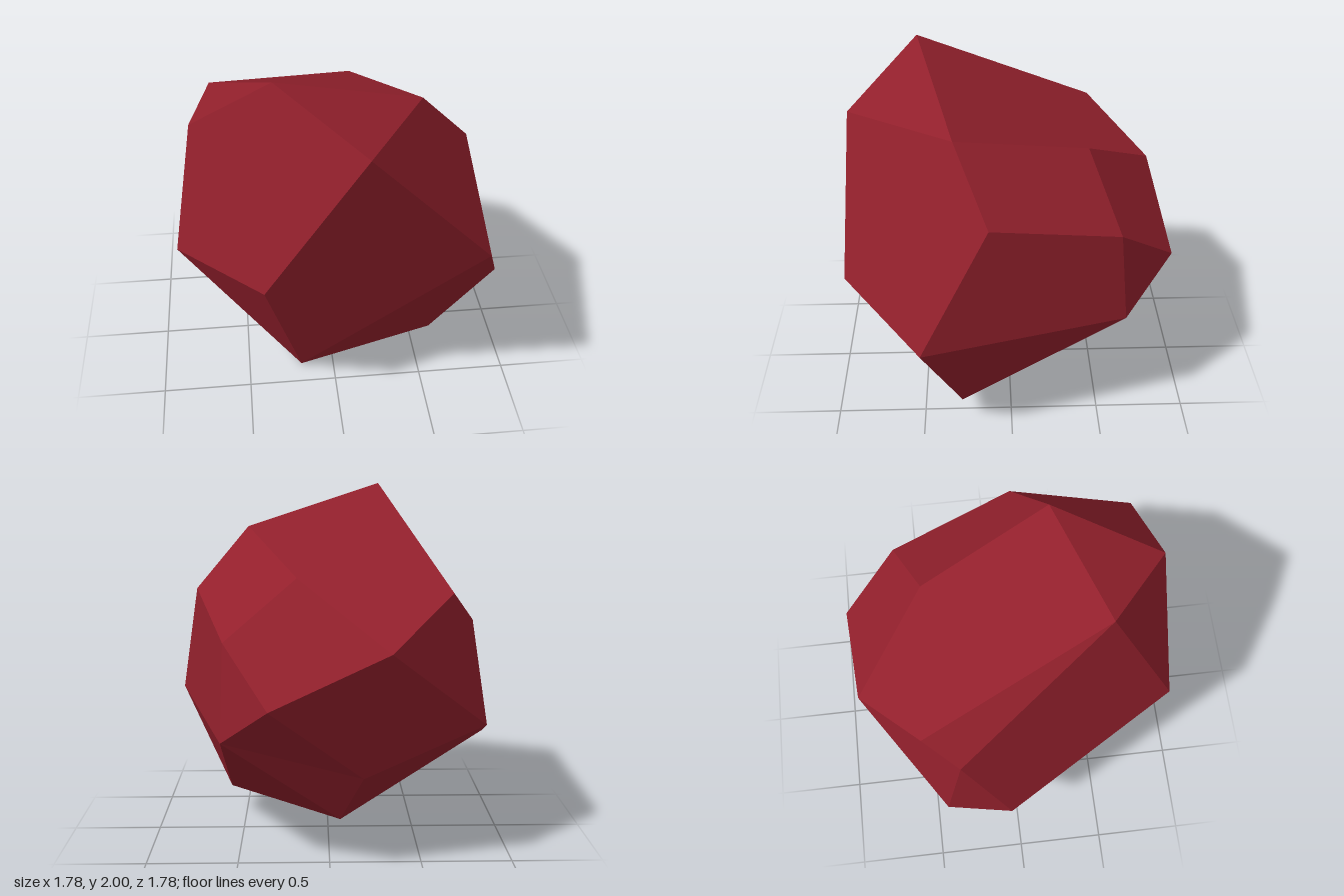
import * as THREE from 'three';

// Corners of the faceted stone
const corners = {
  A: [-0.31, 2.0, 0.49], B: [0.12, 1.76, 0.84], C: [0.46, 1.76, 0.29], D: [0.75, 1.42, 0.12],
  E: [0.74, 1.15, 0.84], F: [0.89, 0.75, 0.48], G: [0.59, 0.16, 0.28], H: [-0.19, 0.0, 0.36],
  I: [-0.89, 0.61, -0.05], J: [-0.4, 1.04, 0.89], K: [-0.77, 1.31, -0.31], L: [0.17, 1.55, -0.42],
  M: [0.55, 1.24, -0.57], N: [-0.3, 1.23, -0.82], O: [0.31, 0.96, -0.89], P: [0.57, 0.72, -0.62],
  Q: [-0.64, 1.48, -0.49], R: [-0.85, 0.75, -0.41], S: [-0.18, 0.5, -0.56], T: [-0.06, 0.21, -0.4],
};

// Facets, each a loop of corners seen counter-clockwise from outside;
// a facet is cut into triangles from its first corner
const facets = ('AJB ABC EFDCB CDML DFPM MPO FGP EHGF BJHE JIH AKIJ ' +
  'AQK QACLN LMON NRKQ KRI NOSR OPS PTS GHTP THIRS').split(' ');

// One flat normal for the whole facet
function facetNormal(loop) {
  const normal = new THREE.Vector3();
  loop.forEach((p, i) => normal.add(new THREE.Vector3().crossVectors(p, loop[(i + 1) % loop.length])));
  return normal.normalize();
}

function stoneGeometry() {
  const positions = [], normals = [];
  for (const facet of facets) {
    const loop = [...facet].map((name) => new THREE.Vector3(...corners[name]));
    const normal = facetNormal(loop);
    for (let i = 1; i < loop.length - 1; i++) {
      for (const p of [loop[0], loop[i], loop[i + 1]]) {
        positions.push(...p.toArray());
        normals.push(...normal.toArray());
      }
    }
  }
  const geometry = new THREE.BufferGeometry();
  geometry.setAttribute('position', new THREE.Float32BufferAttribute(positions, 3));
  geometry.setAttribute('normal', new THREE.Float32BufferAttribute(normals, 3));
  return geometry;
}

export function createModel() {
  const group = new THREE.Group();
  group.name = 'stone';
  const deepRed = new THREE.MeshStandardMaterial({ color: 0x93202c });
  deepRed.name = 'deepRed';
  const stone = new THREE.Mesh(stoneGeometry(), deepRed);
  stone.name = 'facetedStone';
  group.add(stone);
  return group;
}
